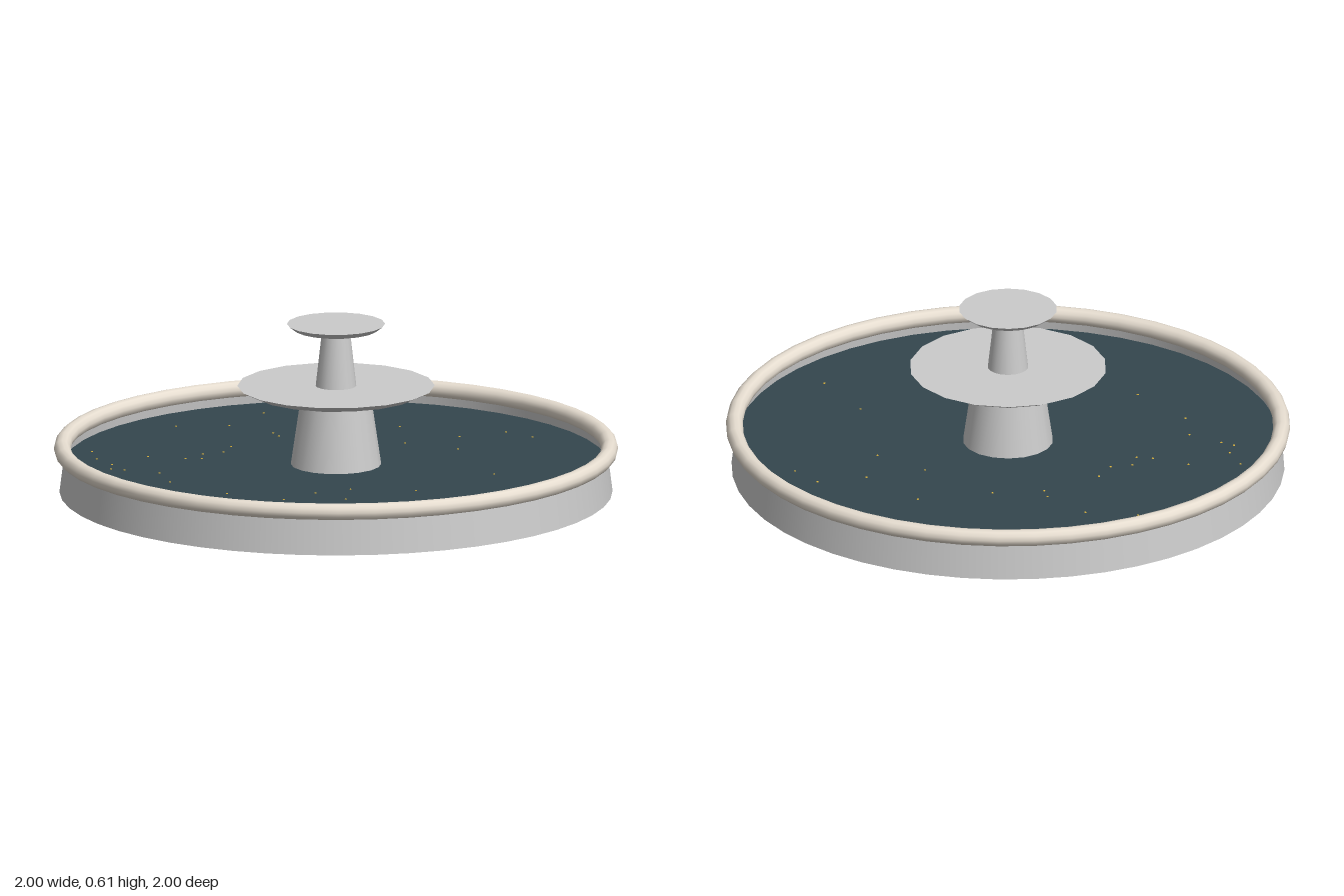
import * as THREE from 'three';

export function createModel() {
  const group = new THREE.Group();
  const stone = new THREE.MeshStandardMaterial({ color: 0xcccccc });
  const stoneOpen = new THREE.MeshStandardMaterial({ color: 0xcccccc, side: THREE.DoubleSide });
  const rimStone = new THREE.MeshStandardMaterial({ color: 0xe6ddd0 });
  const waterBlue = new THREE.MeshStandardMaterial({ color: 0x34464e, side: THREE.DoubleSide });
  const gold = new THREE.MeshStandardMaterial({ color: 0xe0b840 });

  const add = (name, geometry, material, parent = group) => {
    const mesh = new THREE.Mesh(geometry, material);
    mesh.name = name;
    parent.add(mesh);
    return mesh;
  };
  // Tapered round part standing between two heights
  const taper = (name, y0, y1, r0, r1, sides, material = stone, open = false) => {
    const mesh = add(name, new THREE.CylinderGeometry(r1, r0, y1 - y0, sides, 1, open), material);
    mesh.position.y = (y0 + y1) / 2;
  };

  // Basin: open wall, rounded rim and water sheet
  taper('basinWall', 0, 0.157, 0.98, 0.96, 48, stoneOpen, true);
  const rim = add('basinRim', new THREE.TorusGeometry(0.97, 0.03, 12, 48), rimStone);
  rim.rotation.x = Math.PI / 2;
  rim.position.y = 0.157;
  const water = add('water', new THREE.CircleGeometry(0.965, 48), waterBlue);
  water.rotation.x = -Math.PI / 2;
  water.position.y = 0.1;

  // Central tiers
  taper('lowerPedestal', 0, 0.36, 0.175, 0.122, 18);
  taper('lowerBowl', 0.36, 0.385, 0.3, 0.35, 18);
  taper('upperPedestal', 0.385, 0.59, 0.072, 0.049, 18);
  taper('upperBowl', 0.59, 0.61, 0.148, 0.174, 18);

  // Coins scattered on the water, as x, z pairs
  const spots = [
    [0.29, -0.71], [0.41, -0.69], [0.18, -0.57], [-0.08, -0.6], [-0.6, -0.54], [-0.25, -0.39],
    [0.06, -0.39], [0.27, -0.4], [-0.61, -0.31], [-0.42, -0.29], [-0.38, -0.26], [-0.77, -0.21],
    [0.57, -0.13], [0.81, -0.04], [-0.45, -0.04], [-0.43, 0.05], [-0.48, 0.11], [-0.45, 0.17],
    [-0.5, 0.2], [-0.63, 0.24], [-0.84, 0.27], [-0.77, 0.36], [-0.68, 0.41], [-0.65, 0.47],
    [-0.6, 0.46], [-0.47, 0.44], [-0.37, 0.54], [-0.11, 0.59], [0.11, 0.57], [0.16, 0.43],
    [0.24, 0.32], [0.3, 0.46], [0.45, 0.22], [0.49, 0.53],
  ];
  const coins = new THREE.Group();
  coins.name = 'coins';
  group.add(coins);
  const coinGeometry = new THREE.CylinderGeometry(0.004, 0.004, 0.002, 8);
  for (const [x, z] of spots) add('coin', coinGeometry, gold, coins).position.set(x, 0.102, z);

  return group;
}
